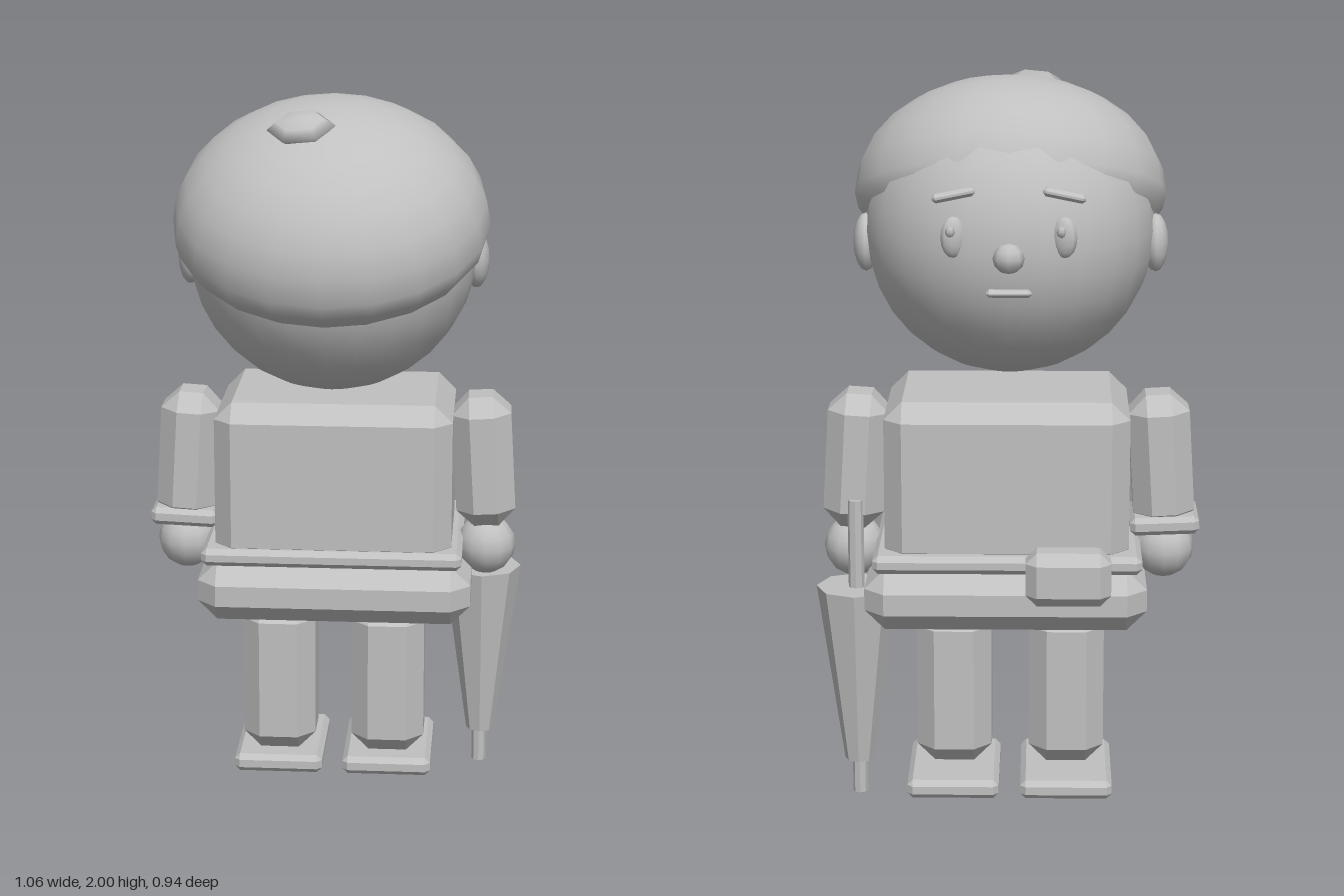
import * as THREE from 'three';
import { ConvexGeometry } from 'three/addons/geometries/ConvexGeometry.js';

const grey = new THREE.MeshStandardMaterial({ color: 0xc0c0c0 });
grey.name = 'plain grey';

// Box with flat chamfers; the size is [x, y, z] and c the chamfer
function chamferBox([w, h, d], c) {
  const points = [];
  for (const x of [-1, 1]) for (const y of [-1, 1]) for (const z of [-1, 1]) {
    const a = w / 2, b = h / 2, e = d / 2;
    points.push(
      new THREE.Vector3(x * a, y * (b - c), z * (e - c)),
      new THREE.Vector3(x * (a - c), y * b, z * (e - c)),
      new THREE.Vector3(x * (a - c), y * (b - c), z * e)
    );
  }
  return new ConvexGeometry(points);
}

export function createModel() {
  const model = new THREE.Group();
  model.name = 'figure';

  const add = (name, geometry, pos, rot = [0, 0, 0]) => {
    const mesh = new THREE.Mesh(geometry, grey);
    mesh.name = name;
    mesh.position.set(...pos);
    mesh.rotation.set(...rot);
    model.add(mesh);
    return mesh;
  };
  const box = (name, size, c, pos, rot) => add(name, chamferBox(size, c), pos, rot);
  const ball = (name, radii, pos, rot, w = 12, h = 8) => {
    const mesh = add(name, new THREE.SphereGeometry(1, w, h), pos, rot);
    mesh.scale.set(...radii);
    return mesh;
  };
  const rod = (name, rTop, rBottom, y0, y1, x, z) => {
    const g = new THREE.CylinderGeometry(rTop, rBottom, y1 - y0, 8).toNonIndexed();
    g.computeVertexNormals();
    return add(name, g, [x, (y0 + y1) / 2, z]);
  };

  // Head
  ball('head', [0.398, 0.397, 0.395], [-0.008, 1.587, -0.02], [0, 0, 0], 24, 16);

  // Hair cap: a tilted ellipsoid with a flatter underside
  const hair = new THREE.SphereGeometry(1, 20, 14);
  const p = hair.attributes.position;
  for (let i = 0; i < p.count; i++) {
    const y = p.getY(i);
    const ry = y > 0 ? 0.318 : 0.2;
    const n = new THREE.Vector3(p.getX(i) / 0.432, y / ry, p.getZ(i) / 0.422).normalize();
    hair.attributes.normal.setXYZ(i, n.x, n.y, n.z);
    p.setXYZ(i, p.getX(i) * 0.432, y * ry, p.getZ(i) * 0.422);
  }
  add('hair', hair, [-0.008, 1.67, 0.06], [0.366, 0, 0]);
  ball('hairTuft', [0.092, 0.035, 0.065], [-0.076, 1.95, 0.225], [0.5, 0, 0.1], 6, 4);

  // Face, looking along -z
  ball('nose', [0.042, 0.04, 0.04], [-0.01, 1.575, -0.43], [0, 0, 0], 8, 6);
  box('mouth', [0.12, 0.02, 0.03], 0.008, [-0.01, 1.478, -0.402]);
  for (const s of [-1, 1]) {
    const x = -0.01 + s * 0.145;
    const side = s > 0 ? 'left' : 'right';
    ball(side + 'Eye', [0.035, 0.055, 0.022], [x, 1.623, -0.382], [0, s * 0.3, 0], 10, 8);
    ball(side + 'Pupil', [0.013, 0.016, 0.011], [x + 0.008, 1.64, -0.402], [0, 0, 0], 6, 4);
    box(side + 'Eyebrow', [0.115, 0.024, 0.032], 0.009, [x, 1.732, -0.37], [0, 0, -s * 0.2]);
    ball(side + 'Ear', [0.035, 0.08, 0.06], [-0.01 + s * 0.397, 1.55, -0.043], [0.1, 0, 0]);
  }

  // Torso, belt, hips and belt pouch
  box('torso', [0.665, 0.46, 0.475], 0.05, [-0.003, 0.93, -0.1125]);
  box('belt', [0.73, 0.05, 0.53], 0.015, [-0.005, 0.724, -0.12]);
  box('hips', [0.77, 0.17, 0.535], 0.055, [0, 0.613, -0.118]);
  box('pouch', [0.23, 0.148, 0.115], 0.03, [-0.17, 0.703, -0.403]);

  // Legs and feet
  for (const [side, x] of [['right', -0.168], ['left', 0.147]]) {
    box(side + 'Leg', [0.21, 0.45, 0.21], 0.05, [x, 0.305, -0.107]);
    box(side + 'Foot', [0.255, 0.053, 0.345], 0.015, [x, 0.052, -0.153]);
  }

  // Arms and hands
  for (const [side, s, x] of [['right', -1, -0.427], ['left', 1, 0.415]]) {
    box(side + 'Arm', [0.168, 0.38, 0.19], 0.05, [x, 0.958, -0.115], [0, 0, s * 0.06]);
    ball(side + 'Hand', [0.085, 0.085, 0.088], [x + s * 0.01, 0.703, -0.112]);
  }
  box('cuff', [0.19, 0.05, 0.215], 0.014, [-0.436, 0.79, -0.118], [0, 0, -0.04]);

  // Folded umbrella
  rod('umbrellaHandle', 0.022, 0.022, 0.6, 0.86, 0.415, -0.205);
  rod('umbrellaCanopy', 0.112, 0.04, 0.1, 0.61, 0.415, -0.197);
  rod('umbrellaTip', 0.021, 0.021, 0, 0.11, 0.413, -0.195);

  return model;
}
